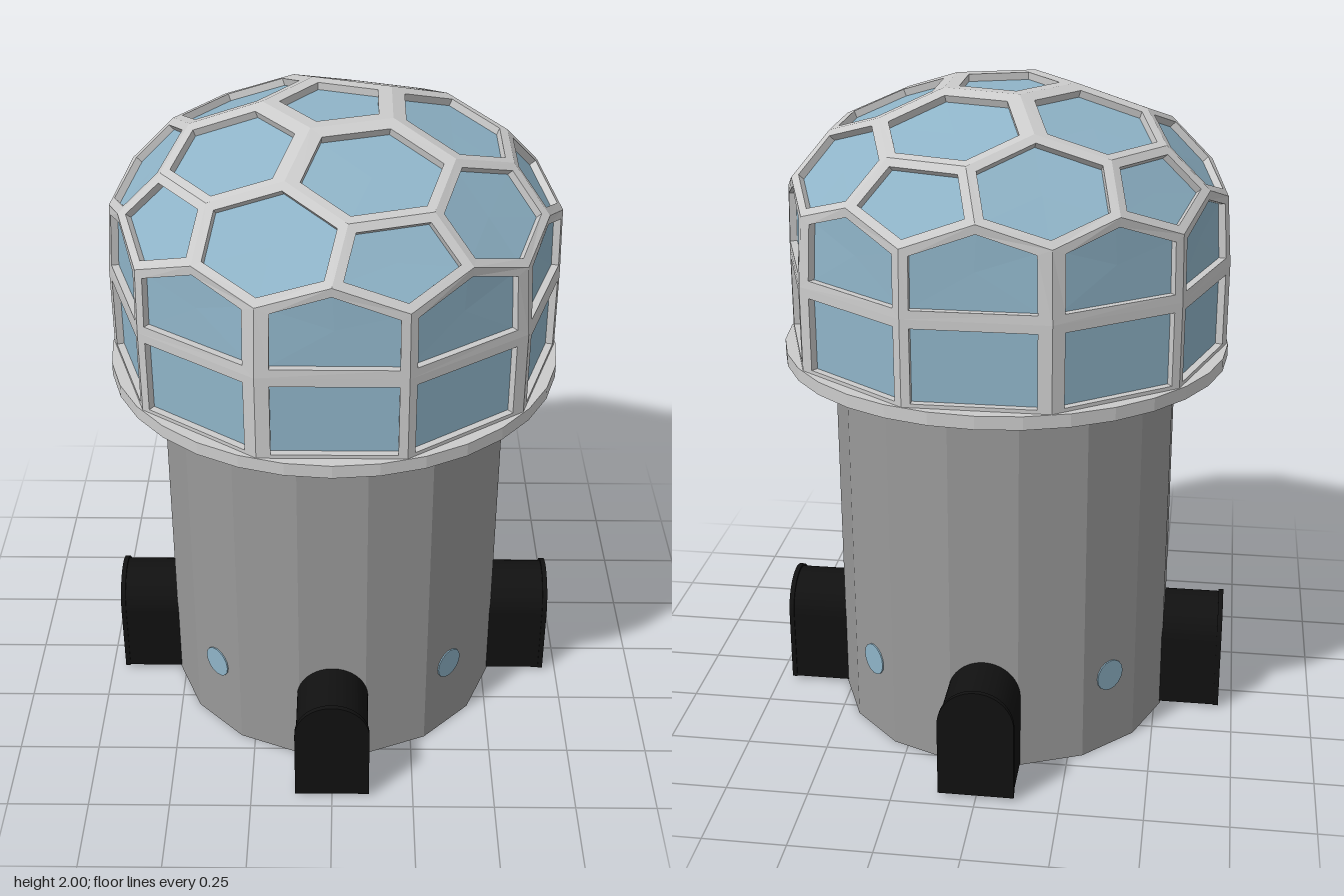
import * as THREE from 'three';

const paint = (color) => new THREE.MeshStandardMaterial({ color, flatShading: true });

// Point on the dome: horizontal radius, height, azimuth in degrees from +x
function node(r, y, az) {
  const a = THREE.MathUtils.degToRad(az);
  const p = new THREE.Vector3(r * Math.cos(a), y, r * Math.sin(a));
  p.onRib = ((Math.round(az) % 72) + 72) % 72 === 36;
  return p;
}

// Rings of dome nodes, top to bottom
const crown = (az) => node(0.204, 1.998, az);
const fork = (az) => node(0.413, 1.93, az);
const shoulder = (az) => node(0.52, 1.866, az);
const peak = (az) => node(0.638, 1.74, az);
const valley = (az) => (((az % 72) + 72) % 72 === 36 ? node(0.66, 1.675, az) : node(0.67, 1.665, az));
const waist = (az) => node(0.675, 1.47, az);
const foot = (az) => node(0.675, 1.2, az);

// All pane outlines: a pentagon-and-hexagon cap above two rows of windows
function paneOutlines() {
  const faces = [[0, 1, 2, 3, 4].map((k) => crown(36 + 72 * k))];
  for (let k = 0; k < 5; k++) {
    const a = 72 * k, b = a + 36;
    faces.push([crown(a - 36), crown(a + 36), fork(a + 36), shoulder(a + 13.4), shoulder(a - 13.4), fork(a - 36)]);
    faces.push([shoulder(a - 13.4), shoulder(a + 13.4), peak(a + 18), valley(a), peak(a - 18)]);
    faces.push([fork(b), shoulder(b + 22.6), peak(b + 18), valley(b), peak(b - 18), shoulder(b - 22.6)]);
    for (const c of [a, b]) {
      faces.push([valley(c), peak(c + 18), valley(c + 36), waist(c + 36), waist(c)]);
      faces.push([waist(c), waist(c + 36), foot(c + 36), foot(c)]);
    }
  }
  return faces;
}

function triangles(list) {
  const g = new THREE.BufferGeometry().setFromPoints(list);
  g.computeVertexNormals();
  return g;
}

// Each outline gives a flat frame border, recessed inner walls and a pane
function buildDome() {
  const frame = [], glass = [];
  const quad = (a, b, c, d) => frame.push(a, b, c, a, c, d);
  for (let face of paneOutlines()) {
    const centre = face.reduce((s, p) => s.add(p), new THREE.Vector3()).divideScalar(face.length);
    const normal = new THREE.Vector3();
    face.forEach((p, i) => {
      const q = face[(i + 1) % face.length];
      normal.add(p.clone().sub(centre).cross(q.clone().sub(centre)));
    });
    normal.normalize();
    if (normal.dot(centre.clone().setY(centre.y - 1.2)) < 0) {
      face = face.reverse();
      normal.negate();
    }
    const n = face.length;
    const width = (p, q) => (p.onRib && q.onRib ? 0.04 : 0.026);
    const inner = face.map((p, i) => {
      const prev = face[(i + n - 1) % n], next = face[(i + 1) % n];
      const a = prev.clone().sub(p).normalize(), b = next.clone().sub(p).normalize();
      const s = a.clone().cross(b).length();
      return p.clone().addScaledVector(a, width(p, next) / s).addScaledVector(b, width(p, prev) / s);
    });
    const deep = inner.map((p) => p.clone().addScaledVector(normal, -0.022));
    const paneCentre = deep.reduce((s, p) => s.add(p), new THREE.Vector3()).divideScalar(n);
    for (let i = 0; i < n; i++) {
      const j = (i + 1) % n;
      quad(face[i], face[j], inner[j], inner[i]);
      quad(inner[i], inner[j], deep[j], deep[i]);
      glass.push(paneCentre, deep[i], deep[j]);
    }
  }
  return { frame: triangles(frame), glass: triangles(glass) };
}

// Arched block: flat sides below a half-round top
function archGeometry(half, top, depth) {
  const s = new THREE.Shape();
  s.moveTo(-half, 0.01);
  s.lineTo(half, 0.01);
  s.absarc(0, top - half, half, 0, Math.PI, false);
  s.closePath();
  return new THREE.ExtrudeGeometry(s, { depth, bevelEnabled: false, curveSegments: 16 });
}

export function createModel() {
  const model = new THREE.Group();
  const grey = paint(0xcccccc), wall = paint(0x999999), blue = paint(0x8fb4c8), black = paint(0x111111);
  const add = (name, geometry, material, parent = model) => {
    const mesh = new THREE.Mesh(geometry, material);
    mesh.name = name;
    parent.add(mesh);
    return mesh;
  };

  // Sixteen-sided tower with a flat side to the front
  const tower = add('tower', new THREE.CylinderGeometry(0.53, 0.53, 1.18, 16), wall);
  tower.position.y = 0.59;
  tower.rotation.y = Math.PI / 16;

  // Floor ring carrying the dome
  add('domeBase', new THREE.CylinderGeometry(0.68, 0.68, 0.04, 32), grey).position.y = 1.195;

  // Glazed dome
  const dome = buildDome();
  add('domeFrame', dome.frame, grey);
  add('domeGlass', dome.glass, blue);

  // Four arched porches, with round windows on the diagonals between them
  const porch = archGeometry(0.11, 0.353, 0.21);
  const door = archGeometry(0.114, 0.36, 0.015);
  for (let k = 0; k < 4; k++) {
    const side = new THREE.Group();
    side.name = 'porch';
    side.rotation.y = (k * Math.PI) / 2;
    model.add(side);
    add('porchBody', porch, black, side).position.z = 0.485;
    add('porchDoor', door, black, side).position.z = 0.692;

    const bay = new THREE.Group();
    bay.name = 'roundWindow';
    bay.rotation.y = Math.PI / 4 + (k * Math.PI) / 2;
    model.add(bay);
    const disc = add('windowDisc', new THREE.CylinderGeometry(0.05, 0.05, 0.02, 16), blue, bay);
    disc.rotation.x = Math.PI / 2;
    disc.position.set(0, 0.25, 0.514);
  }
  return model;
}
